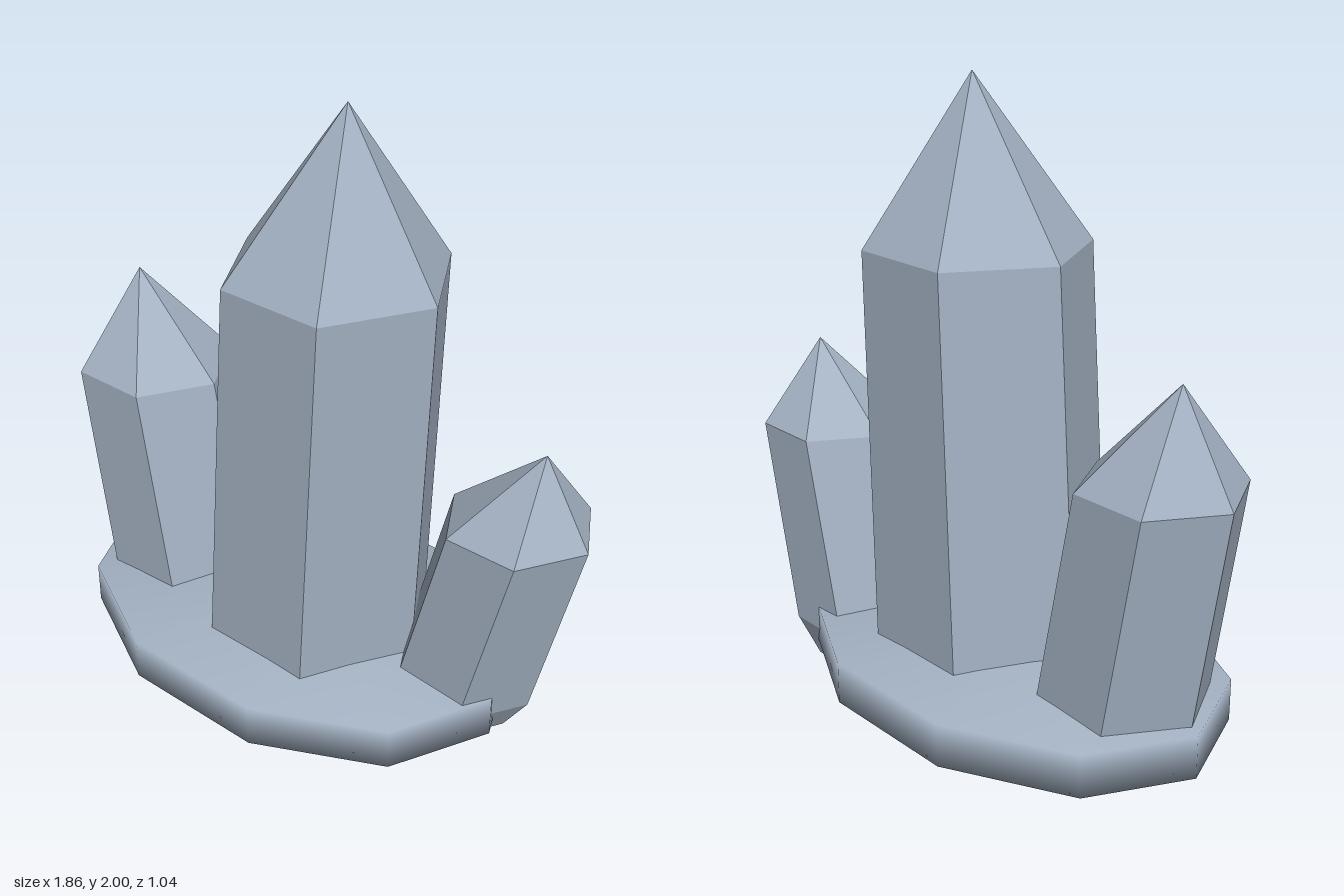
import * as THREE from 'three';

const SIDES = 6;

// Leaning hexagonal crystal skinned through rings of [x, y, z, radius]; radius 0 closes an end
function crystalGeometry(rings) {
  const corner = (ring, i) => {
    const [x, y, z, r] = rings[ring];
    const a = ((i % SIDES) / SIDES) * Math.PI * 2;
    return [x + r * Math.cos(a), y, z + r * Math.sin(a)];
  };
  const positions = [];
  for (let k = 0; k < rings.length - 1; k++) {
    for (let i = 0; i < SIDES; i++) {
      const a = corner(k, i), b = corner(k, i + 1);
      const c = corner(k + 1, i), d = corner(k + 1, i + 1);
      if (rings[k][3] > 0) positions.push(...a, ...c, ...b);
      if (rings[k + 1][3] > 0) positions.push(...b, ...c, ...d);
    }
  }
  const geometry = new THREE.BufferGeometry();
  geometry.setAttribute('position', new THREE.Float32BufferAttribute(positions, 3));
  geometry.computeVertexNormals();
  return geometry;
}

export function createModel() {
  const model = new THREE.Group();
  model.name = 'crystalCluster';

  const stone = new THREE.MeshStandardMaterial({ color: 0xa3b1c2 });
  stone.name = 'blueGreyStone';

  const add = (name, geometry) => {
    const mesh = new THREE.Mesh(geometry, stone);
    mesh.name = name;
    model.add(mesh);
  };

  // Crystals: flat foot, flared ring, shoulder, off-centre tip
  add('mainCrystal', crystalGeometry([
    [0.015, 0, 0, 0], [0.015, 0, 0, 0.31], [0.025, 0.13, 0, 0.38],
    [0.092, 1.48, 0, 0.357], [0.12, 2, 0, 0],
  ]));
  add('rightCrystal', crystalGeometry([
    [-0.505, 0, 0.02, 0], [-0.505, 0, 0.02, 0.22], [-0.53, 0.13, 0.02, 0.275],
    [-0.67, 0.92, 0.02, 0.26], [-0.73, 1.24, 0.02, 0],
  ]));
  add('leftCrystal', crystalGeometry([
    [0.49, 0, -0.13, 0], [0.49, 0, -0.13, 0.198], [0.525, 0.13, -0.13, 0.247],
    [0.688, 0.79, -0.13, 0.238], [0.762, 1.06, -0.13, 0],
  ]));

  // Oval ten-sided rock slab with softly shaded, slightly domed faces
  const profile = [[0, 0.005], [0.79, 0.07], [0.79, 0.21], [0, 0.275]]
    .map(([r, y]) => new THREE.Vector2(r, y));
  const slab = new THREE.LatheGeometry(profile, 10, Math.PI / 2);
  slab.scale(1, 1, 0.547 / 0.79);
  slab.translate(-0.07, 0, 0);
  add('rockBase', slab);

  return model;
}
